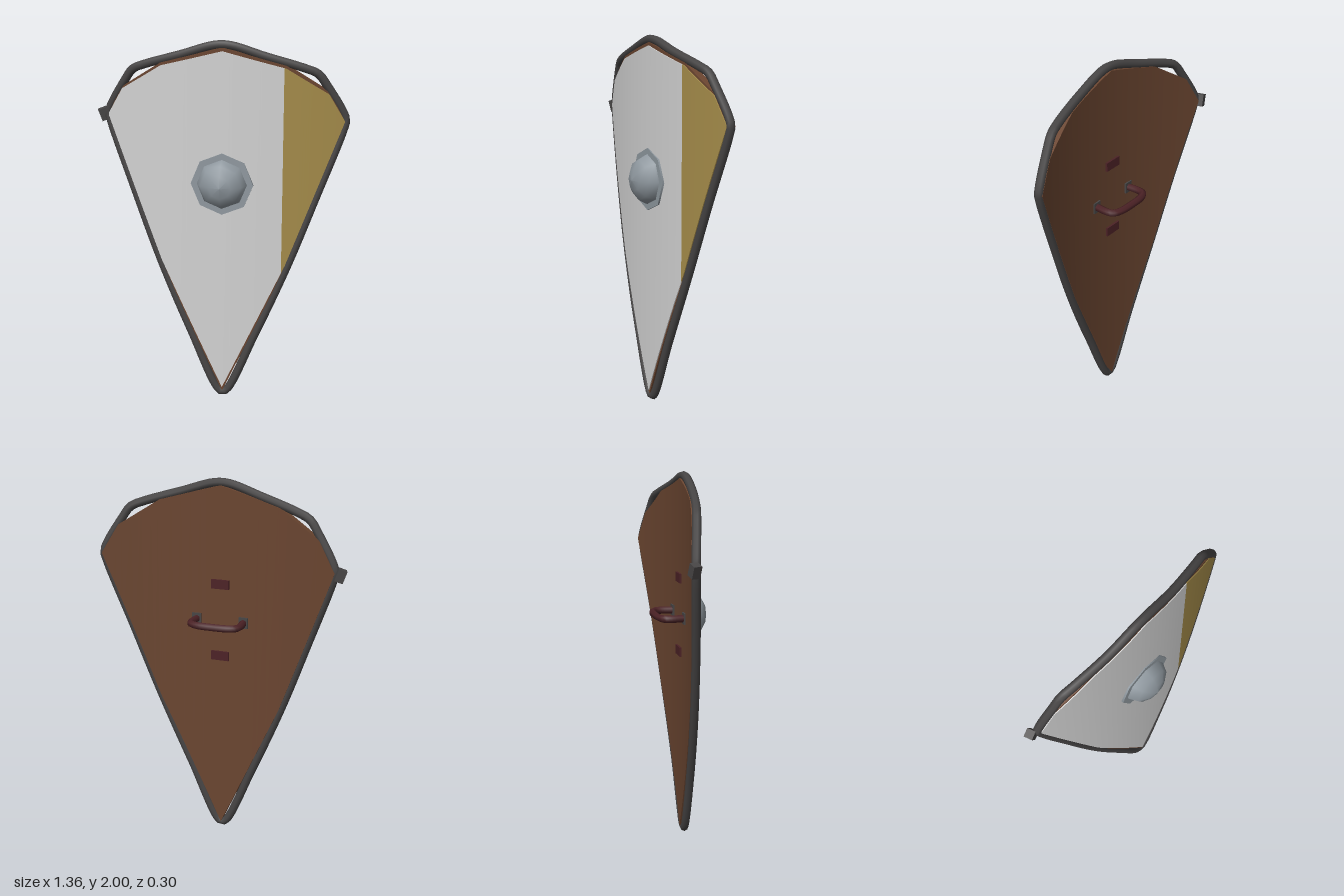
import * as THREE from 'three';
import { toCreasedNormals } from 'three/addons/utils/BufferGeometryUtils.js';

const CX = 0.02;                       // the shield's own centre line
const bend = (dx) => -0.235 * dx * dx; // backward sweep of the curved board

const mat = (name, color) => {
  const m = new THREE.MeshStandardMaterial({ color });
  m.name = name;
  return m;
};

// Height on a mirrored outline given as [distance from centre, y] points
function heightAt(points, dx) {
  const d = Math.abs(dx);
  for (let i = 1; i < points.length; i++) {
    const [x0, y0] = points[i - 1], [x1, y1] = points[i];
    if (d <= x1 + 1e-6) return y0 + (y1 - y0) * (d - x0) / (x1 - x0);
  }
  return points[points.length - 1][1];
}

// Curved slab between an upper and a lower outline, built from vertical sections
function slab(from, to, top, bottom, zBack, zFront) {
  const xs = [];
  for (let i = 0; i <= 24; i++) xs.push(from + (to - from) * i / 24);
  for (const [x] of [...top, ...bottom])
    for (const v of [x, -x]) if (v > from && v < to && !xs.some((q) => Math.abs(q - v) < 1e-4)) xs.push(v);
  xs.sort((a, b) => a - b);

  const pos = [], idx = [];
  xs.forEach((dx, i) => {
    const t = heightAt(top, dx), b = heightAt(bottom, dx), z = bend(dx), x = CX + dx;
    pos.push(x, b, z + zFront, x, t, z + zFront, x, t, z + zBack, x, b, z + zBack);
    if (i === xs.length - 1) return;
    for (let k = 0; k < 4; k++) {
      const a = i * 4 + k, c = i * 4 + (k + 1) % 4;
      idx.push(a, a + 4, c + 4, a, c + 4, c);
    }
  });
  const n = pos.length / 3 - 4;
  idx.push(0, 1, 2, 0, 2, 3, n, n + 2, n + 1, n, n + 3, n + 2);
  const g = new THREE.BufferGeometry();
  g.setAttribute('position', new THREE.Float32BufferAttribute(pos, 3));
  g.setIndex(idx);
  return toCreasedNormals(g, 0.5);
}

export function createModel() {
  const group = new THREE.Group();
  const white = mat('white paint', 0xd2d2d2);
  const gold = mat('gold paint', 0xa58c4a);
  const wood = mat('brown wood', 0x6a4530);
  const iron = mat('dark iron', 0x474545);
  const steel = mat('steel', 0x8f989f);
  const leather = mat('dark red leather', 0x4c2226);

  const add = (name, geometry, material, x = 0, y = 0, z = 0) => {
    const mesh = new THREE.Mesh(geometry, material);
    mesh.name = name;
    mesh.position.set(x, y, z);
    group.add(mesh);
    return mesh;
  };

  // Wooden board
  add('board', slab(-0.64, 0.64,
    [[0, 1.965], [0.33, 1.875], [0.55, 1.735], [0.64, 1.58]],
    [[0, 0.03], [0.34, 0.775], [0.64, 1.58]], 0, 0.04), wood);

  // Painted front, split into two fields
  const paintTop = [[0, 1.945], [0.33, 1.86], [0.55, 1.725], [0.635, 1.58]];
  const paintBottom = [[0, 0.055], [0.34, 0.79], [0.635, 1.58]];
  add('whiteField', slab(-0.635, 0.32, paintTop, paintBottom, 0.038, 0.045), white);
  add('goldField', slab(0.32, 0.635, paintTop, paintBottom, 0.038, 0.045), gold);

  // Iron rim following the outline, standing off at the upper corners
  const half = [[0.18, 0.38], [0.345, 0.77], [0.49, 1.16], [0.63, 1.55], [0.636, 1.59],
    [0.535, 1.77], [0.49, 1.83], [0.42, 1.86], [0.22, 1.92], [0.04, 1.974]];
  const outline = [[0.015, 0.025], ...half, ...half.map(([x, y]) => [-x, y]).reverse(), [-0.015, 0.025]];
  const path = new THREE.CatmullRomCurve3(
    outline.map(([x, y]) => new THREE.Vector3(CX + x, y, bend(x) + 0.024)), true, 'centripetal');
  add('rim', new THREE.TubeGeometry(path, 180, 0.023, 8, true), iron);
  const joint = add('rimJoint', new THREE.BoxGeometry(0.045, 0.065, 0.045), iron, -0.648, 1.572, -0.085);
  joint.rotation.set(0, 0.3, 0.35);

  // Eight-sided boss with a flat flange
  const bossProfile = [[0, 0.145], [0.06, 0.133], [0.11, 0.102], [0.132, 0.06], [0.136, 0.045]]
    .reverse().map(([r, z]) => new THREE.Vector2(r, z));
  const dome = add('bossDome', new THREE.LatheGeometry(bossProfile, 8), steel, CX, 1.24, 0);
  dome.rotation.x = Math.PI / 2;
  const flange = add('bossFlange', new THREE.CylinderGeometry(0.168, 0.168, 0.012, 8), steel, CX, 1.24, 0.045);
  flange.rotation.x = Math.PI / 2;

  // Grip on the back
  const grip = [[-0.13, 0.01], [-0.135, -0.08], [-0.125, -0.11], [-0.085, -0.128], [0, -0.133],
    [0.085, -0.128], [0.125, -0.11], [0.135, -0.08], [0.13, 0.01]];
  add('grip', new THREE.TubeGeometry(new THREE.CatmullRomCurve3(
    grip.map(([x, z]) => new THREE.Vector3(CX + x, 1.24, z))), 32, 0.02, 6), leather);

  // Grip brackets and leather pads
  for (const s of [-1, 1]) {
    add('gripBracket', new THREE.BoxGeometry(0.05, 0.06, 0.012), iron, CX + s * 0.132, 1.24, -0.006);
    add('strapPad', new THREE.BoxGeometry(0.1, 0.05, 0.02), leather, CX, 1.24 + s * 0.2, -0.001);
  }
  return group;
}
